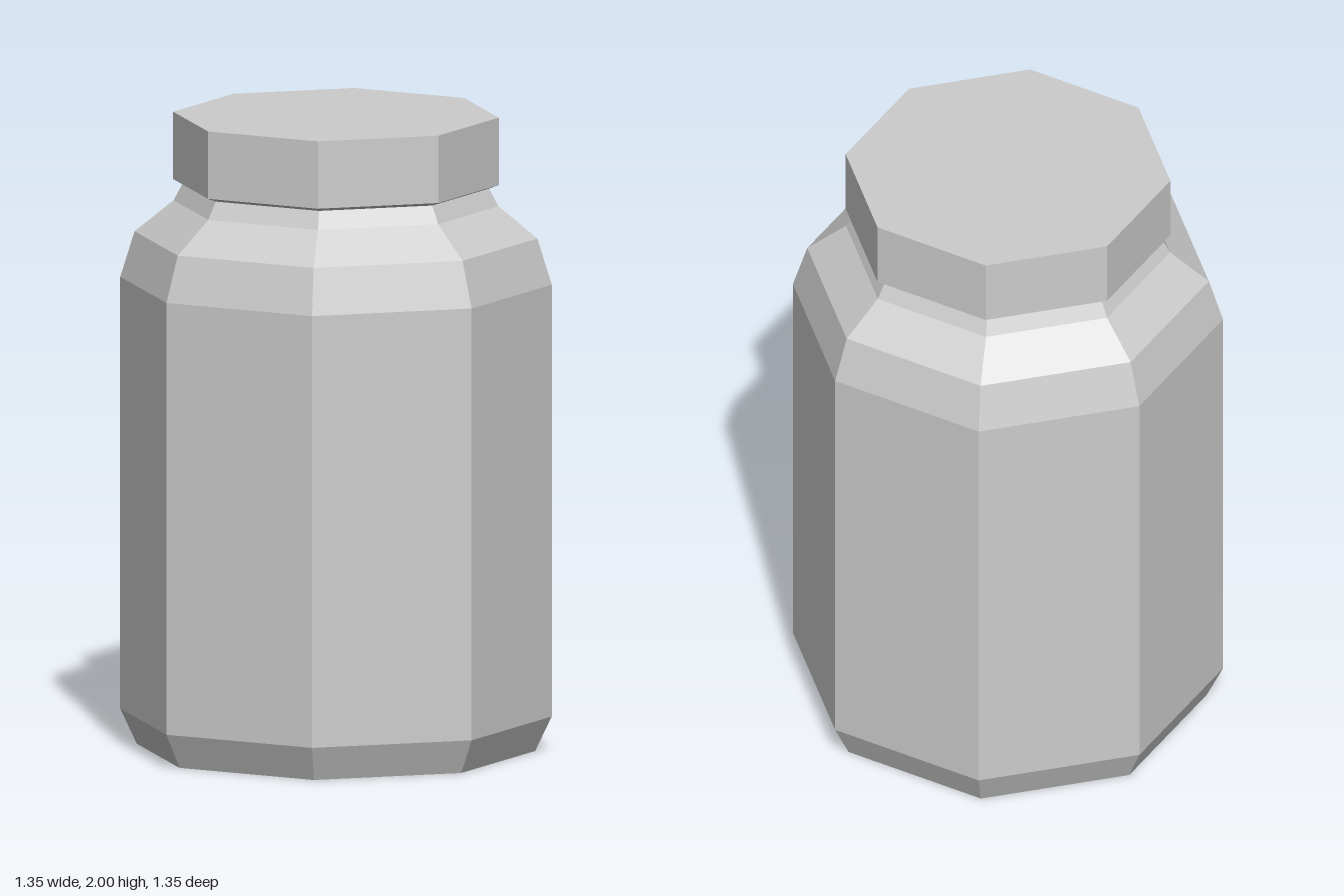
import * as THREE from 'three';

const SIDES = 8;

// Faceted solid of revolution from [radius, height] pairs, bottom to top
function turned(name, profile, material) {
  const points = profile.map(([r, y]) => new THREE.Vector2(r, y));
  const mesh = new THREE.Mesh(new THREE.LatheGeometry(points, SIDES), material);
  mesh.name = name;
  return mesh;
}

export function createModel() {
  const grey = new THREE.MeshStandardMaterial({ color: 0xcccccc, flatShading: true });
  grey.name = 'light grey';

  const jar = new THREE.Group();
  jar.name = 'jar';

  // Body: chamfered base, straight wall, two-step shoulder and neck
  jar.add(turned('body', [
    [0, 0], [0.625, 0], [0.677, 0.11], [0.677, 1.475],
    [0.632, 1.62], [0.51, 1.72], [0.475, 1.785],
  ], grey));

  // Lid: overhanging cap with a slightly sloped underside
  jar.add(turned('lid', [
    [0, 1.775], [0.48, 1.775], [0.511, 1.787], [0.511, 2], [0, 2],
  ], grey));

  return jar;
}
